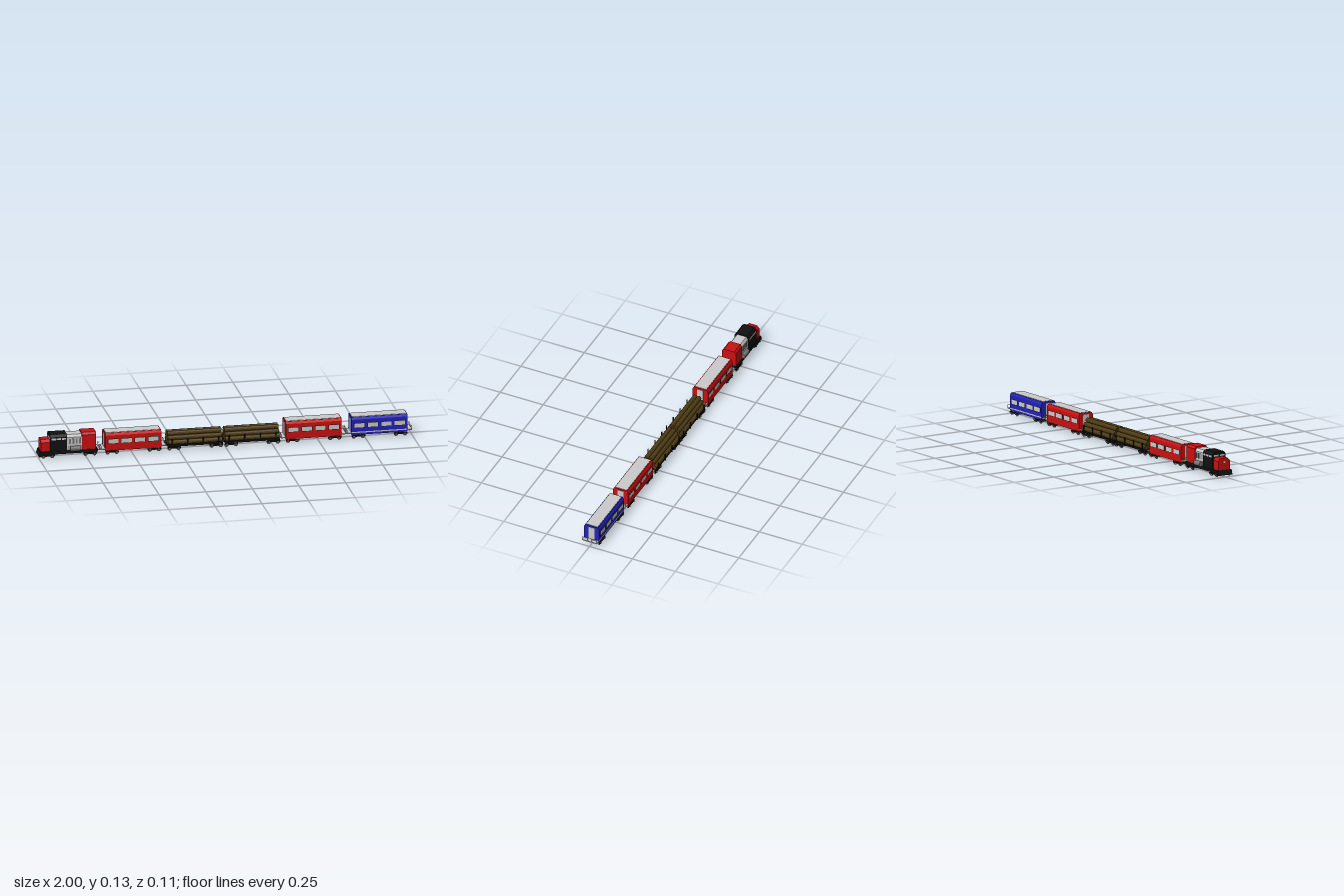
import * as THREE from 'three';

const mat = (color) => new THREE.MeshStandardMaterial({ color, flatShading: true });
const RED = mat(0xcc1010), BLUE = mat(0x2222bb), BLACK = mat(0x111111);
const GREY = mat(0xcccccc), STEEL = mat(0x777777), BROWN = mat(0x4f3c14);

function add(parent, name, geo, material, x = 0, y = 0, z = 0) {
  const m = new THREE.Mesh(geo, material);
  m.name = name;
  m.position.set(x, y, z);
  parent.add(m);
  return m;
}

// box given by its limits along x and y, and its width across z
function block(parent, name, material, x0, x1, y0, y1, width, z = 0) {
  return add(parent, name, new THREE.BoxGeometry(x1 - x0, y1 - y0, width), material,
    (x0 + x1) / 2, (y0 + y1) / 2, z);
}

// body with bevelled roof edges, extruded along x
function hull(parent, name, material, x0, x1, y0, y1, half, bevelY, topHalf) {
  const s = new THREE.Shape([[-half, y0], [half, y0], [half, y1 - bevelY], [topHalf, y1],
    [-topHalf, y1], [-half, y1 - bevelY]].map(([a, b]) => new THREE.Vector2(a, b)));
  const g = new THREE.ExtrudeGeometry(s, { depth: x1 - x0, bevelEnabled: false });
  g.rotateY(Math.PI / 2);
  return add(parent, name, g, material, x0);
}

function cylX(parent, name, material, r, length, x, y, z, sides = 12) {
  const g = new THREE.CylinderGeometry(r, r, length, sides);
  g.rotateZ(Math.PI / 2);
  return add(parent, name, g, material, x, y, z);
}

function cylZ(parent, name, material, r, length, x, y, z) {
  const g = new THREE.CylinderGeometry(r, r, length, 14);
  g.rotateX(Math.PI / 2);
  return add(parent, name, g, material, x, y, z);
}

// four-wheeled truck
function bogie(parent, x) {
  const b = new THREE.Group();
  b.name = 'bogie';
  b.position.x = x;
  parent.add(b);
  block(b, 'bolster', BLACK, -0.012, 0.012, 0.01, 0.024, 0.07);
  for (const s of [-1, 1]) {
    block(b, 'sideFrame', BLACK, -0.036, 0.036, 0.011, 0.019, 0.005, s * 0.044);
    cylZ(b, 'axle', STEEL, 0.003, 0.084, s * 0.024, 0.011, 0);
    for (const t of [-1, 1]) {
      cylZ(b, 'wheel', STEEL, 0.011, 0.005, s * 0.024, 0.011, t * 0.039);
      cylZ(b, 'axleBox', STEEL, 0.005, 0.004, s * 0.024, 0.012, t * 0.047);
    }
  }
}

function car(parent, name, x) {
  const g = new THREE.Group();
  g.name = name;
  g.position.x = x;
  parent.add(g);
  for (const s of [-1, 1]) bogie(g, s * 0.113);
  return g;
}

function coach(parent, x, paint, stripe) {
  const g = car(parent, 'coach', x);
  hull(g, 'coachBody', paint, -0.15, 0.15, 0.021, 0.117, 0.044, 0.012, 0.037);
  block(g, 'roofPanel', GREY, -0.145, 0.145, 0.116, 0.119, 0.066);
  block(g, 'endPlatforms', GREY, -0.175, 0.175, 0.028, 0.033, 0.086);
  for (const s of [-1, 1]) {
    // windows with a slim frame
    for (const wx of [-0.108, -0.036, 0.036, 0.108]) {
      block(g, 'windowFrame', BLACK, wx - 0.029, wx + 0.029, 0.059, 0.086, 0.001, s * 0.0443);
      block(g, 'window', GREY, wx - 0.027, wx + 0.027, 0.061, 0.084, 0.0016, s * 0.0445);
    }
    if (stripe) block(g, 'sideStripe', GREY, -0.15, 0.15, 0.032, 0.038, 0.002, s * 0.0445);
    // end door and platform railing
    block(g, 'endDoor', GREY, s * 0.1508 - 0.001, s * 0.1508 + 0.001, 0.034, 0.108, 0.036);
    for (const z of [-0.042, -0.012, 0.012, 0.042])
      block(g, 'railPost', GREY, s * 0.173 - 0.001, s * 0.173 + 0.001, 0.032, 0.05, 0.002, z);
    for (const t of [-1, 1])
      block(g, 'handRail', GREY, s * 0.173 - 0.001, s * 0.173 + 0.001, 0.048, 0.05, 0.03, t * 0.027);
  }
}

function logWagon(parent, x) {
  const g = car(parent, 'logWagon', x);
  block(g, 'wagonDeck', BLACK, -0.147, 0.147, 0.021, 0.031, 0.09);
  // stacked logs, one fewer in each higher row
  const r = 0.0123;
  for (let row = 0; row < 3; row++) {
    const n = 4 - row;
    for (let i = 0; i < n; i++)
      cylX(g, 'log', BROWN, r, 0.29, 0, 0.031 + r + row * r * 1.73, (i - (n - 1) / 2) * 2 * r);
  }
  for (const sx of [-0.125, -0.042, 0.042, 0.125])
    for (const s of [-1, 1])
      block(g, 'stake', BLACK, sx - 0.003, sx + 0.003, 0.024, 0.066, 0.004, s * 0.05);
}

function locomotive(parent) {
  const g = car(parent, 'locomotive', -0.84);
  block(g, 'frame', BLACK, -0.15, 0.155, 0.02, 0.036, 0.088);
  hull(g, 'nose', RED, -0.148, -0.098, 0.034, 0.1, 0.036, 0.014, 0.022);
  hull(g, 'cab', BLACK, -0.1, -0.01, 0.03, 0.126, 0.042, 0.014, 0.03);
  hull(g, 'engineHood', GREY, -0.01, 0.072, 0.034, 0.12, 0.036, 0.014, 0.026);
  hull(g, 'rearHood', RED, 0.07, 0.146, 0.034, 0.128, 0.04, 0.012, 0.03);
  block(g, 'rearPlatform', GREY, 0.146, 0.166, 0.028, 0.033, 0.086);
  // headlight and windscreens
  cylX(g, 'headlight', GREY, 0.006, 0.004, -0.149, 0.079, 0);
  for (const s of [-1, 1]) {
    block(g, 'windscreen', GREY, -0.1012, -0.0998, 0.102, 0.111, 0.028, s * 0.019);
    for (let i = 0; i < 3; i++)
      block(g, 'cabWindow', GREY, -0.094 + i * 0.028, -0.071 + i * 0.028, 0.098, 0.108, 0.0016, s * 0.0422);
    // side air tanks and hood louvres
    cylX(g, 'airTank', STEEL, 0.014, 0.056, 0.035, 0.045, s * 0.04, 14);
    for (let i = 0; i < 4; i++)
      block(g, 'louvre', STEEL, 0.002 + i * 0.018, 0.012 + i * 0.018, 0.07, 0.098, 0.0016, s * 0.0363);
    for (const px of [-0.004, 0.066])
      block(g, 'handRailPost', STEEL, px - 0.001, px + 0.001, 0.034, 0.062, 0.002, s * 0.042);
  }
  // sloping cowcatcher
  const s = new THREE.Shape([[-0.14, 0.034], [-0.152, 0.034], [-0.16, 0.01], [-0.14, 0.01]]
    .map(([a, b]) => new THREE.Vector2(a, b)));
  add(g, 'cowcatcher', new THREE.ExtrudeGeometry(s, { depth: 0.09, bevelEnabled: false }), BLACK, 0, 0, -0.045);
}

export function createModel() {
  const train = new THREE.Group();
  train.name = 'train';
  locomotive(train);
  coach(train, -0.495, RED, false);
  logWagon(train, -0.163);
  logWagon(train, 0.143);
  coach(train, 0.472, RED, false);
  coach(train, 0.825, BLUE, true);
  // couplings between the cars
  for (const x of [-0.672, -0.317, -0.01, 0.294, 0.648])
    block(train, 'coupling', STEEL, x - 0.025, x + 0.025, 0.021, 0.027, 0.008);
  return train;
}
